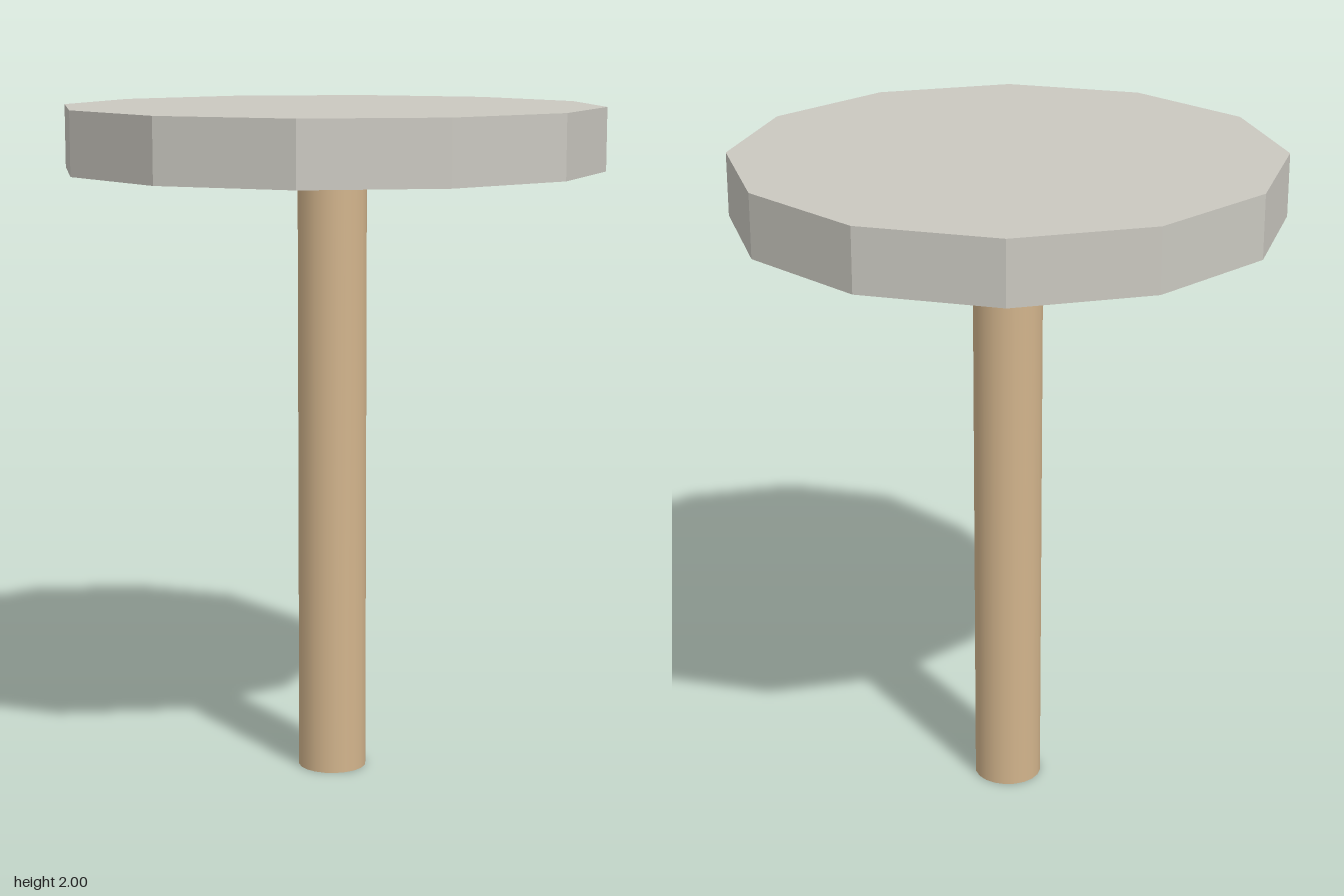
import * as THREE from 'three';

export function createModel() {
  const model = new THREE.Group();

  // Adds a capped upright cylinder spanning y0 to y1
  const addCylinder = (name, radius, y0, y1, sides, color, flatShading) => {
    const mesh = new THREE.Mesh(
      new THREE.CylinderGeometry(radius, radius, y1 - y0, sides),
      new THREE.MeshStandardMaterial({ color, flatShading })
    );
    mesh.name = name;
    mesh.position.y = (y0 + y1) / 2;
    model.add(mesh);
  };

  // Round wooden post
  addCylinder('post', 0.102, 0, 1.83, 20, 0xd2b48c, false);
  // Twelve-sided slab, with corners on the x and z axes
  addCylinder('tableTop', 0.797, 1.815, 2, 12, 0xcac8c0, true);

  return model;
}
